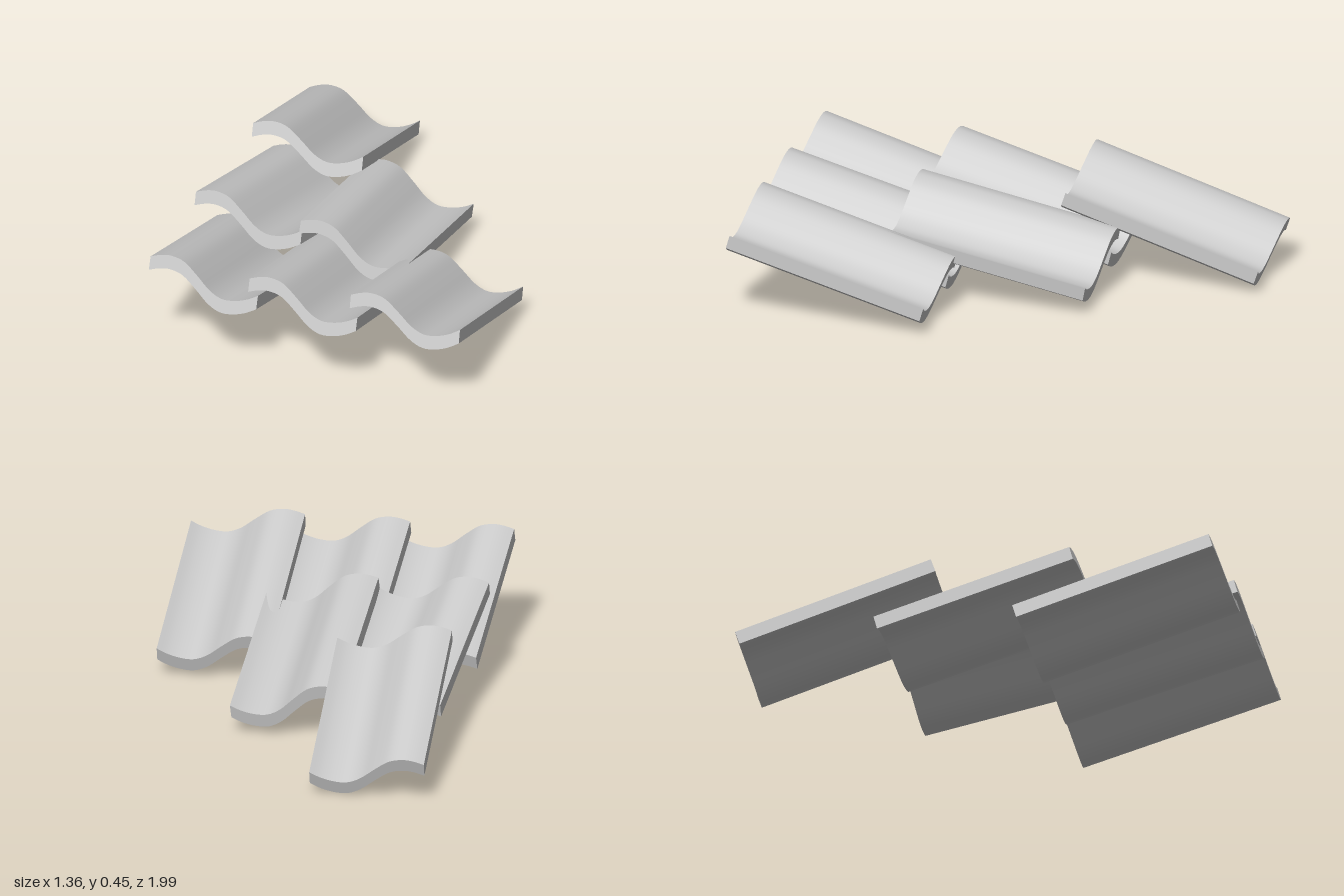
import * as THREE from 'three';
import { toCreasedNormals } from 'three/addons/utils/BufferGeometryUtils.js';

const LENGTH = 0.835;
const THICKNESS = 0.056;

// S-shaped tile section, extruded backwards from its front end at z = 0
function tileGeometry() {
  const underside = new THREE.SplineCurve([
    [-0.233, 0.115], [-0.19, 0.13], [-0.145, 0.135], [-0.09, 0.121], [-0.03, 0.076],
    [0.03, 0.026], [0.085, 0.002], [0.14, 0.005], [0.19, 0.021], [0.233, 0.045],
  ].map(([x, y]) => new THREE.Vector2(x, y))).getPoints(36);
  const topside = underside.map((p) => new THREE.Vector2(p.x, p.y + THICKNESS)).reverse();
  const shape = new THREE.Shape([...underside, ...topside]);
  const geometry = new THREE.ExtrudeGeometry(shape, { depth: LENGTH, bevelEnabled: false });
  geometry.translate(0, 0, -LENGTH);
  return toCreasedNormals(geometry, 0.6);
}

export function createModel() {
  const model = new THREE.Group();
  model.name = 'roofTiles';
  const geometry = tileGeometry();
  const material = new THREE.MeshStandardMaterial({ color: 0xcccccc });

  // Each tile: front end position, then pitch, yaw and roll of its loose lay
  const tiles = [
    { name: 'frontRowRightTile', at: [-0.413, 0.26, 0.985], pitch: 0.295, yaw: 0.018, roll: -0.03 },
    { name: 'frontRowMiddleTile', at: [0.015, 0.25, 0.993], pitch: 0.27, yaw: 0.022, roll: -0.03 },
    { name: 'frontRowLeftTile', at: [0.447, 0.26, 0.975], pitch: 0.287, yaw: 0.037, roll: 0 },
    { name: 'middleRowRightTile', at: [-0.428, 0.255, 0.425], pitch: 0.262, yaw: -0.035, roll: 0 },
    { name: 'middleRowLeftTile', at: [0.018, 0.208, 0.43], pitch: 0.2, yaw: 0.03, roll: -0.08 },
    { name: 'backRowTile', at: [-0.393, 0.273, -0.16], pitch: 0.327, yaw: 0.067, roll: 0 },
  ];
  for (const { name, at, pitch, yaw, roll } of tiles) {
    const tile = new THREE.Mesh(geometry, material);
    tile.name = name;
    tile.position.set(...at);
    tile.rotation.set(-pitch, yaw, roll, 'YXZ');
    model.add(tile);
  }
  return model;
}
